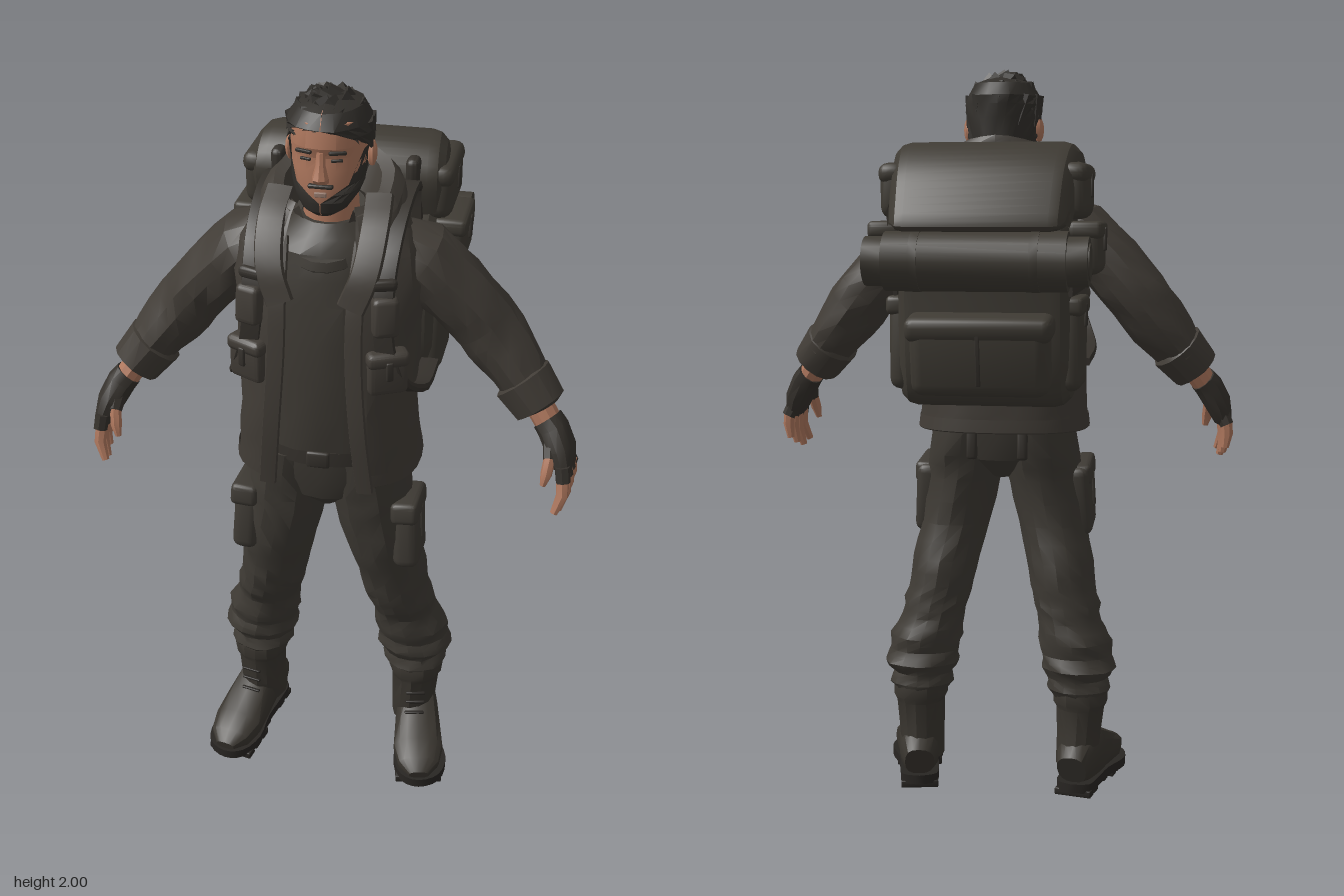
import * as THREE from 'three';
import { mergeGeometries, toCreasedNormals } from 'three/addons/utils/BufferGeometryUtils.js';
import { RoundedBoxGeometry } from 'three/addons/geometries/RoundedBoxGeometry.js';

const V = (x, y, z) => new THREE.Vector3(x, y, z);
const mat = (name, color) => {
  const m = new THREE.MeshStandardMaterial({ color, side: THREE.DoubleSide });
  m.name = name;
  return m;
};
const hash = (i, j) => { const s = Math.sin(i * 12.99 + j * 78.23) * 43758.55; return s - Math.floor(s); };

// Skin through rings given as [x, y, z, radiusU, radiusV, frontGap].
function loft(rows, { n = 14, pow = 2, wrinkle = 0, axis = null, refX = false, sub = 1 } = {}) {
  const R = [];
  rows.forEach((r, i) => {
    if (i === rows.length - 1) { R.push(r); return; }
    for (let k = 0; k < sub; k++) R.push(r.map((v, c) => v + ((rows[i + 1][c] ?? 0) - v) * k / sub));
  });
  const P = R.map(r => V(r[0], r[1], r[2]));
  const pos = [], idx = [], e = 2 / pow;
  R.forEach((r, i) => {
    const t = axis ? axis.clone().normalize()
      : P[Math.min(i + 1, P.length - 1)].clone().sub(P[Math.max(i - 1, 0)]).normalize();
    const ref = refX ? V(1, 0, 0) : V(0, 0, 1);
    ref.addScaledVector(t, -ref.dot(t)).normalize();
    const u = refX ? ref : t.clone().cross(ref);
    const v = refX ? ref.clone().cross(t) : ref;
    const gap = r[5] ?? 0;
    for (let j = 0; j <= n; j++) {
      const a = gap + (2 * Math.PI - 2 * gap) * j / n, s = Math.sin(a), c = Math.cos(a);
      const k = 1 + wrinkle * (hash(i, j % n) * 2 - 1);
      const p = P[i].clone()
        .addScaledVector(u, Math.sign(s) * Math.abs(s) ** e * r[3] * k)
        .addScaledVector(v, Math.sign(c) * Math.abs(c) ** e * r[4] * k);
      pos.push(p.x, p.y, p.z);
    }
  });
  const w = n + 1, L = R.length - 1;
  for (let i = 0; i < L; i++) for (let j = 0; j < n; j++) {
    const a = i * w + j, b = a + 1, c = b + w, d = a + w;
    idx.push(a, b, c, a, c, d);
  }
  if (!R.some(r => r[5])) {
    const base = pos.length / 3;
    pos.push(...P[0].toArray(), ...P[L].toArray());
    for (let j = 0; j < n; j++) idx.push(base, j + 1, j, base + 1, L * w + j, L * w + j + 1);
  }
  const g = new THREE.BufferGeometry();
  g.setAttribute('position', new THREE.Float32BufferAttribute(pos, 3));
  g.setIndex(idx);
  return g;
}

// Flat webbing along a smooth path.
const strap = (pts, wide, thick) => loft(
  new THREE.CatmullRomCurve3(pts.map(p => V(...p))).getPoints(pts.length * 3)
    .map(p => [p.x, p.y, p.z, wide, thick]), { n: 8, pow: 5, refX: true });
const box = (x, y, z, w, h, d, ry = 0, rx = 0, r = 0.015) =>
  new RoundedBoxGeometry(w, h, d, 2, Math.min(r, w / 2.1, h / 2.1, d / 2.1)).rotateX(rx).rotateY(ry).translate(x, y, z);
// Side outline of [z, y] points, extruded across x and narrowed towards the back.
function slab(points, width, bevel, taper) {
  const g = new THREE.ExtrudeGeometry(new THREE.Shape(new THREE.SplineCurve(
    [...points, points[0]].map(p => new THREE.Vector2(...p))).getPoints(40).slice(0, -1)), {
    depth: width - 2 * bevel, bevelSize: bevel, bevelThickness: bevel, bevelOffset: -bevel, bevelSegments: 3 });
  g.translate(0, 0, bevel - width / 2).rotateY(-Math.PI / 2);
  const p = g.attributes.position;
  for (let i = 0; i < p.count; i++) p.setX(i, p.getX(i) * (1 + taper * p.getZ(i)));
  return g;
}

export function createModel() {
  const model = new THREE.Group();
  const M = {
    jacket: mat('jacketCloth', 0x413c36), pants: mat('trouserCloth', 0x3e3a34), shirt: mat('shirtCloth', 0x3c3832),
    pack: mat('packCanvas', 0x3f3b34), trim: mat('darkWebbing', 0x35312c), boot: mat('bootLeather', 0x39352f),
    sole: mat('soleRubber', 0x282522), hair: mat('hair', 0x322f2b), skin: mat('skin', 0xaf785e), lip: mat('mouth', 0x957a6d),
  };
  const finish = g => {
    ['uv', 'normal'].forEach(a => g.deleteAttribute(a));
    return toCreasedNormals(g, 0.5);
  };
  const add = (name, m, ...geos) => {
    const list = geos.map(finish);
    const mesh = new THREE.Mesh(list.length > 1 ? mergeGeometries(list) : list[0], m);
    mesh.name = name;
    model.add(mesh);
    return mesh;
  };
  // Adds the +x part and its reflection.
  const pair = (name, m, ...geos) => {
    const left = add(name + 'Left', m, ...geos), g = left.geometry.clone();
    for (const key of ['position', 'normal']) {
      const a = g.attributes[key].array;
      for (let i = 0; i < a.length; i += 9) {
        for (let k = 0; k < 3; k++) [a[i + 3 + k], a[i + 6 + k]] = [a[i + 6 + k], a[i + 3 + k]];
        for (let k = 0; k < 9; k += 3) a[i + k] *= -1;
      }
    }
    const right = new THREE.Mesh(g, m);
    right.name = name + 'Right';
    model.add(right);
  };
  const up = V(0, 1, 0);

  // Boots
  const foot = g => g.rotateY(0.2).translate(0.215, 0, -0.01);
  const outline = new THREE.Shape(new THREE.SplineCurve([[0, 0], [0.048, 0.02], [0.055, 0.09], [0.06, 0.17], [0.08, 0.26],
    [0.057, 0.33], [0, 0.355], [-0.05, 0.33], [-0.07, 0.26], [-0.055, 0.17], [-0.055, 0.09], [-0.048, 0.02], [0, 0]]
    .map(p => new THREE.Vector2(p[0], -p[1]))).getPoints(36));
  const soleGeo = new THREE.ExtrudeGeometry(outline, { depth: 0.026, bevelEnabled: false }).rotateX(-Math.PI / 2).translate(0, 0.014, 0);
  const treads = [0.03, 0.075, 0.17, 0.215, 0.26, 0.305].map(z => foot(box(0, 0.01, z, 0.105 + (z > 0.2 ? 0.025 : 0), 0.02, 0.034, 0, 0, 0.003)));
  pair('bootSole', M.sole, foot(soleGeo), ...treads);
  pair('bootFoot', M.boot, foot(loft([[0, 0.08, 0.004, 0.042, 0.045], [0, 0.095, 0.04, 0.055, 0.065], [0, 0.1, 0.13, 0.06, 0.082],
    [0, 0.088, 0.19, 0.066, 0.062], [0, 0.072, 0.26, 0.072, 0.046], [0, 0.062, 0.315, 0.058, 0.034], [0, 0.054, 0.349, 0.028, 0.014]],
    { refX: true, n: 16, pow: 2.4, wrinkle: 0.025 })));
  pair('bootShaft', M.boot, loft([[0.222, 0.08, 0.075, 0.06, 0.08], [0.226, 0.16, 0.09, 0.063, 0.085], [0.23, 0.24, 0.09, 0.068, 0.08],
    [0.23, 0.255, 0.09, 0.076, 0.085], [0.23, 0.285, 0.09, 0.076, 0.085], [0.23, 0.32, 0.088, 0.068, 0.075]], { axis: up, wrinkle: 0.025 }));
  pair('bootLaces', M.sole, ...[0.15, 0.18, 0.21].map((y, i) =>
    box(0.243, y, 0.176 - i * 0.004 + (i === 0 ? 0.008 : 0), 0.055, 0.007, 0.01, 0.2, 0, 0.003)));

  // Trousers, bunched below the knee
  pair('trouserLeg', M.pants, loft([[0.225, 0.27, 0.085, 0.07, 0.072], [0.225, 0.295, 0.09, 0.09, 0.087], [0.222, 0.325, 0.088, 0.084, 0.08],
    [0.225, 0.355, 0.09, 0.108, 0.097], [0.217, 0.39, 0.094, 0.096, 0.088], [0.212, 0.43, 0.098, 0.103, 0.095], [0.195, 0.485, 0.107, 0.087, 0.091],
    [0.187, 0.53, 0.12, 0.092, 0.1], [0.173, 0.58, 0.132, 0.09, 0.105], [0.163, 0.65, 0.142, 0.093, 0.107], [0.14, 0.75, 0.172, 0.096, 0.11],
    [0.116, 0.88, 0.178, 0.106, 0.12], [0.106, 0.95, 0.172, 0.11, 0.134], [0.09, 1.07, 0.17, 0.11, 0.148]],
    { axis: up, n: 16, wrinkle: 0.04, sub: 2 }));
  add('trouserSeat', M.pants, loft([[0, 0.885, 0.17, 0.03, 0.07], [0, 0.94, 0.17, 0.13, 0.128], [0, 1.0, 0.17, 0.195, 0.142],
    [0, 1.1, 0.17, 0.2, 0.15]], { axis: up, n: 18 }));
  add('belt', M.trim, loft([[0, 1.06, 0.17, 0.204, 0.158], [0, 1.1, 0.17, 0.204, 0.158]], { axis: up, n: 24 }),
    box(0, 1.08, 0.328, 0.06, 0.045, 0.015));
  pair('beltLoopTail', M.trim, box(0.07, 0.99, 0.03, 0.03, 0.09, 0.02));
  const pocket = g => g.rotateZ(0.06).translate(0.046, -0.01, 0);
  pair('cargoPocket', M.pants, pocket(box(0.218, 0.82, 0.195, 0.07, 0.2, 0.15, 0, -0.12, 0.025)),
    pocket(box(0.222, 0.895, 0.205, 0.072, 0.06, 0.16, 0, -0.12)), pocket(box(0.254, 0.84, 0.2, 0.012, 0.1, 0.025)));

  // Shirt and neck scarf
  add('shirt', M.shirt, loft([[0, 1.1, 0.175, 0.2, 0.155], [0, 1.3, 0.175, 0.195, 0.155], [0, 1.5, 0.165, 0.19, 0.145],
    [0, 1.62, 0.155, 0.16, 0.125], [0, 1.685, 0.145, 0.085, 0.09]], { axis: up, n: 20, wrinkle: 0.03, sub: 2 }));
  add('neckScarf', M.shirt, ...[[1.635, 0.165, 0.095, 0.115], [1.668, 0.155, 0.08, 0.09]].map(([y, z, rx, rz]) =>
    new THREE.TorusGeometry(1, 0.22, 6, 18).scale(rx, rz, 0.1).rotateX(Math.PI / 2 + 0.35).translate(0, y, z)));

  // Jacket, open down the front
  const jr = [[0, 1.03, 0.175, 0.235, 0.185, 0.4], [0, 1.12, 0.18, 0.228, 0.188, 0.36], [0, 1.24, 0.184, 0.222, 0.186, 0.32],
    [0, 1.4, 0.176, 0.226, 0.18, 0.3], [0, 1.54, 0.166, 0.235, 0.166, 0.3], [0, 1.62, 0.156, 0.222, 0.148, 0.32],
    [0, 1.68, 0.15, 0.175, 0.125, 0.4], [0, 1.73, 0.14, 0.11, 0.1, 0.6]];
  add('jacketBody', M.jacket, loft(jr, { axis: up, n: 28, pow: 2.5, wrinkle: 0.018, sub: 2 }));
  add('jacketHem', M.jacket, loft([[0, 1.022, 0.175, 0.236, 0.187, 0.4], [0, 1.025, 0.175, 0.24, 0.19, 0.4],
    [0, 1.06, 0.177, 0.236, 0.19, 0.38]], { axis: up, n: 28, pow: 2.5 }));
  pair('jacketPlacket', M.jacket, strap([[0.125, 1.015, 0.35], [0.108, 1.2, 0.364], [0.095, 1.4, 0.352], [0.095, 1.54, 0.326], [0.1, 1.66, 0.265]], 0.022, 0.01));
  pair('jacketLapel', M.jacket, strap([[0.085, 1.52, 0.34], [0.115, 1.6, 0.318], [0.125, 1.69, 0.25], [0.12, 1.74, 0.17]], 0.035, 0.012));
  add('hoodCollar', M.jacket, loft([[0, 1.63, 0.15, 0.2, 0.165, 0.5], [0, 1.69, 0.145, 0.186, 0.168, 0.5], [0, 1.735, 0.138, 0.17, 0.16, 0.55],
    [0, 1.76, 0.132, 0.145, 0.145, 0.6], [0, 1.755, 0.13, 0.118, 0.115, 0.6], [0, 1.68, 0.14, 0.09, 0.09, 0.5]],
    { axis: V(0, 0.9, 0.4), n: 20, wrinkle: 0.03 }));

  // Sleeves and cuffs
  pair('sleeve', M.jacket, loft([[0.14, 1.6, 0.12, 0.07, 0.09], [0.215, 1.565, 0.115, 0.088, 0.11], [0.3, 1.48, 0.1, 0.086, 0.108],
    [0.375, 1.395, 0.09, 0.086, 0.1], [0.43, 1.325, 0.098, 0.08, 0.094], [0.5, 1.24, 0.12, 0.064, 0.08]], { n: 14, wrinkle: 0.055, sub: 2 }));
  pair('cuff', M.jacket, loft([[0.475, 1.265, 0.115, 0.06, 0.075], [0.482, 1.257, 0.117, 0.077, 0.09], [0.532, 1.196, 0.137, 0.068, 0.078],
    [0.536, 1.19, 0.139, 0.045, 0.055]], { n: 14, wrinkle: 0.03 }));

  // Wrists, fingerless gloves and fingers
  pair('wrist', M.skin, loft([[0.52, 1.21, 0.135, 0.036, 0.044], [0.562, 1.15, 0.154, 0.034, 0.042]], { n: 10 }));
  pair('glove', M.trim, loft([[0.553, 1.165, 0.149, 0.037, 0.045], [0.57, 1.145, 0.158, 0.039, 0.048], [0.594, 1.1, 0.175, 0.037, 0.06],
    [0.608, 1.06, 0.188, 0.027, 0.058]], { n: 12, pow: 2.4 }));
  const fingers = [], knuckles = [];
  [0, 1, 2, 3].forEach(i => {
    const z = 0.147 + i * 0.029, dz = (i - 1.2) * 0.005, l = [0.082, 0.1, 0.112, 0.1][i], x = (i - 1.5) * -0.004;
    knuckles.push(loft([[0.604, 1.08, z, 0.02, 0.017], [0.616 + x, 1.04, z + dz, 0.019, 0.016]], { n: 7 }));
    fingers.push(loft([[0.613 + x, 1.055, z, 0.017, 0.015], [0.617 + x, 1.065 - l * 0.6, z + 0.006 + dz, 0.016, 0.014],
      [0.606 + x * 2, 1.058 - l, z + 0.012 + dz * 2, 0.01, 0.009]], { n: 7 }));
  });
  knuckles.push(loft([[0.57, 1.13, 0.185, 0.024, 0.026], [0.572, 1.09, 0.222, 0.018, 0.018]], { n: 7 }));
  fingers.push(loft([[0.572, 1.1, 0.216, 0.016, 0.016], [0.566, 1.055, 0.238, 0.015, 0.014], [0.56, 1.025, 0.244, 0.008, 0.008]], { n: 7 }));
  pair('gloveKnuckles', M.trim, ...knuckles);
  pair('fingers', M.skin, ...fingers);

  // Head
  add('neck', M.skin, loft([[0, 1.62, 0.15, 0.072, 0.075], [0, 1.78, 0.155, 0.062, 0.068]], { axis: up }));
  add('face', M.skin, loft([[0, 1.722, 0.212, 0.035, 0.05], [0, 1.745, 0.19, 0.062, 0.08], [0, 1.785, 0.17, 0.079, 0.1],
    [0, 1.83, 0.162, 0.089, 0.108], [0, 1.86, 0.16, 0.09, 0.105], [0, 1.885, 0.162, 0.091, 0.112], [0, 1.94, 0.16, 0.086, 0.104],
    [0, 1.965, 0.16, 0.055, 0.065]], { axis: up, n: 18, pow: 2.3 }));
  add('nose', M.skin, loft([[0, 1.803, 0.265, 0.02, 0.018], [0, 1.815, 0.272, 0.02, 0.023], [0, 1.845, 0.268, 0.012, 0.014],
    [0, 1.877, 0.266, 0.01, 0.008]], { axis: up, n: 8 }));
  pair('ear', M.skin, new THREE.SphereGeometry(1, 8, 6).scale(0.013, 0.034, 0.022).rotateY(0.25).translate(0.097, 1.84, 0.15));
  pair('eye', M.hair, box(0.037, 1.856, 0.26, 0.028, 0.007, 0.008, 0.3, 0, 0.003));
  pair('eyebrow', M.hair, box(0.04, 1.877, 0.267, 0.042, 0.009, 0.01, 0.3, 0, 0.004));
  add('beard', M.hair, loft([[0, 1.715, 0.212, 0.03, 0.045, 0.01], [0, 1.73, 0.202, 0.055, 0.073, 0.01], [0, 1.755, 0.185, 0.074, 0.095, 0.01],
    [0, 1.774, 0.175, 0.082, 0.103, 0.3], [0, 1.795, 0.169, 0.087, 0.105, 0.75], [0, 1.87, 0.16, 0.095, 0.107, 1.2]],
    { axis: up, n: 20, pow: 2.3, wrinkle: 0.01 }));
  add('moustache', M.hair, box(0, 1.794, 0.269, 0.06, 0.01, 0.016, 0, 0, 0.005));
  add('mouthLine', M.lip, box(0, 1.775, 0.274, 0.03, 0.012, 0.008, 0, 0, 0.003));

  // Hair cap with swept locks
  add('hairCap', M.hair, loft([[0, 1.765, 0.13, 0.078, 0.085, 1.9], [0, 1.82, 0.145, 0.095, 0.1, 1.75], [0, 1.87, 0.152, 0.101, 0.108, 1.3],
    [0, 1.905, 0.157, 0.104, 0.116, 0.7], [0, 1.928, 0.158, 0.1, 0.118, 0.01], [0, 1.962, 0.158, 0.079, 0.094, 0.01],
    [0, 1.98, 0.158, 0.035, 0.045, 0.01], [0, 1.982, 0.158, 0.001, 0.001, 0.01]], { axis: up, n: 20, wrinkle: 0.03 }));
  const locks = [];
  for (let ring = 0; ring < 4; ring++) for (let k = 0; k < 11; k++) {
    const a = (k + hash(ring, k) * 0.7) / 11 * Math.PI * 2, el = [0.12, 0.5, 0.85, 1.2][ring];
    if (ring === 0 && Math.cos(a) > 0.1) continue;
    const d = V(Math.sin(a) * Math.cos(el), Math.sin(el), Math.cos(a) * Math.cos(el));
    const t = V(0.35, -1, -0.15);
    t.addScaledVector(d, -t.dot(d)).normalize().addScaledVector(d, 0.12).normalize();
    const g = new THREE.ConeGeometry(0.027, 0.085, 5).applyQuaternion(new THREE.Quaternion().setFromUnitVectors(up, t));
    locks.push(g.translate(d.x * 0.093, 1.872 + d.y * 0.1, 0.157 + d.z * 0.102));
  }
  add('hairLocks', M.hair, ...locks);

  // Backpack body, lid and pockets
  add('packBody', M.pack, slab([[0, 1.6], [-0.12, 1.64], [-0.23, 1.58], [-0.235, 1.4], [-0.22, 1.22], [-0.17, 1.122], [-0.05, 1.14], [0, 1.24], [0.005, 1.42]], 0.47, 0.05, 0.2));
  add('packLid', M.pack, slab([[-0.01, 1.62], [0, 1.72], [-0.06, 1.785], [-0.15, 1.792], [-0.24, 1.735], [-0.3, 1.65], [-0.33, 1.575], [-0.22, 1.575], [-0.1, 1.6]], 0.51, 0.05, 0.35));
  add('packBackPocket', M.pack, box(0, 1.255, -0.238, 0.36, 0.2, 0.11, 0, -0.17, 0.035), box(0, 1.33, -0.252, 0.38, 0.065, 0.115, 0, -0.17, 0.025));
  add('packBackSeam', M.trim, box(0, 1.25, -0.292, 0.012, 0.14, 0.008, 0, -0.17, 0.003));
  pair('packSidePocket', M.pack, box(0.232, 1.67, -0.12, 0.07, 0.14, 0.21, 0, 0, 0.033), box(0.255, 1.525, -0.12, 0.09, 0.13, 0.16, 0, 0, 0.025),
    box(0.22, 1.28, -0.11, 0.065, 0.24, 0.17, 0, 0, 0.03));
  pair('packPocketFlap', M.pack, box(0.234, 1.715, -0.12, 0.072, 0.055, 0.22, 0, 0, 0.026), box(0.259, 1.573, -0.12, 0.09, 0.045, 0.17), box(0.224, 1.38, -0.11, 0.068, 0.05, 0.18));
  pair('packPocketTab', M.trim, ...[[0.269, 1.685], [0.304, 1.55], [0.256, 1.355]].map(p => box(p[0], p[1], -0.12, 0.009, 0.06, 0.02, 0, 0, 0.004)));
  pair('packCompressionStrap', M.trim, strap([[0.236, 1.43, 0], [0.232, 1.425, -0.1], [0.226, 1.42, -0.22]], 0.006, 0.014));

  // Bedroll with end caps and binding straps
  const roll = (r, l, x) => new THREE.CylinderGeometry(r, r, l, 20).rotateZ(Math.PI / 2).translate(x, 1.497, -0.303);
  add('bedroll', M.pack, roll(0.075, 0.46, 0));
  pair('bedrollEnd', M.pack, roll(0.062, 0.055, 0.254), roll(0.045, 0.006, 0.282));
  pair('bedrollStrap', M.pack, roll(0.077, 0.022, 0.15));

  // Shoulder straps and chest pouches
  pair('shoulderStrap', M.trim, strap([[0.17, 1.6, -0.01], [0.17, 1.7, 0.0], [0.17, 1.715, 0.1], [0.165, 1.66, 0.235], [0.16, 1.56, 0.31],
    [0.165, 1.42, 0.325], [0.195, 1.32, 0.305], [0.23, 1.25, 0.2], [0.23, 1.22, 0.02]], 0.026, 0.011));
  pair('strapBuckle', M.trim, box(0.17, 1.735, -0.01, 0.035, 0.07, 0.05), box(0.16, 1.58, 0.316, 0.065, 0.03, 0.025, 0.3));
  pair('strapPouch', M.jacket, box(0.165, 1.5, 0.32, 0.066, 0.1, 0.045, 0.35, -0.1));
  pair('chestPouch', M.jacket, box(0.17, 1.35, 0.316, 0.1, 0.11, 0.05, 0.45), box(0.172, 1.39, 0.321, 0.106, 0.04, 0.052, 0.45));
  pair('chestPouchTab', M.trim, box(0.183, 1.365, 0.345, 0.018, 0.05, 0.009, 0.45, 0, 0.004));
  return model;
}
